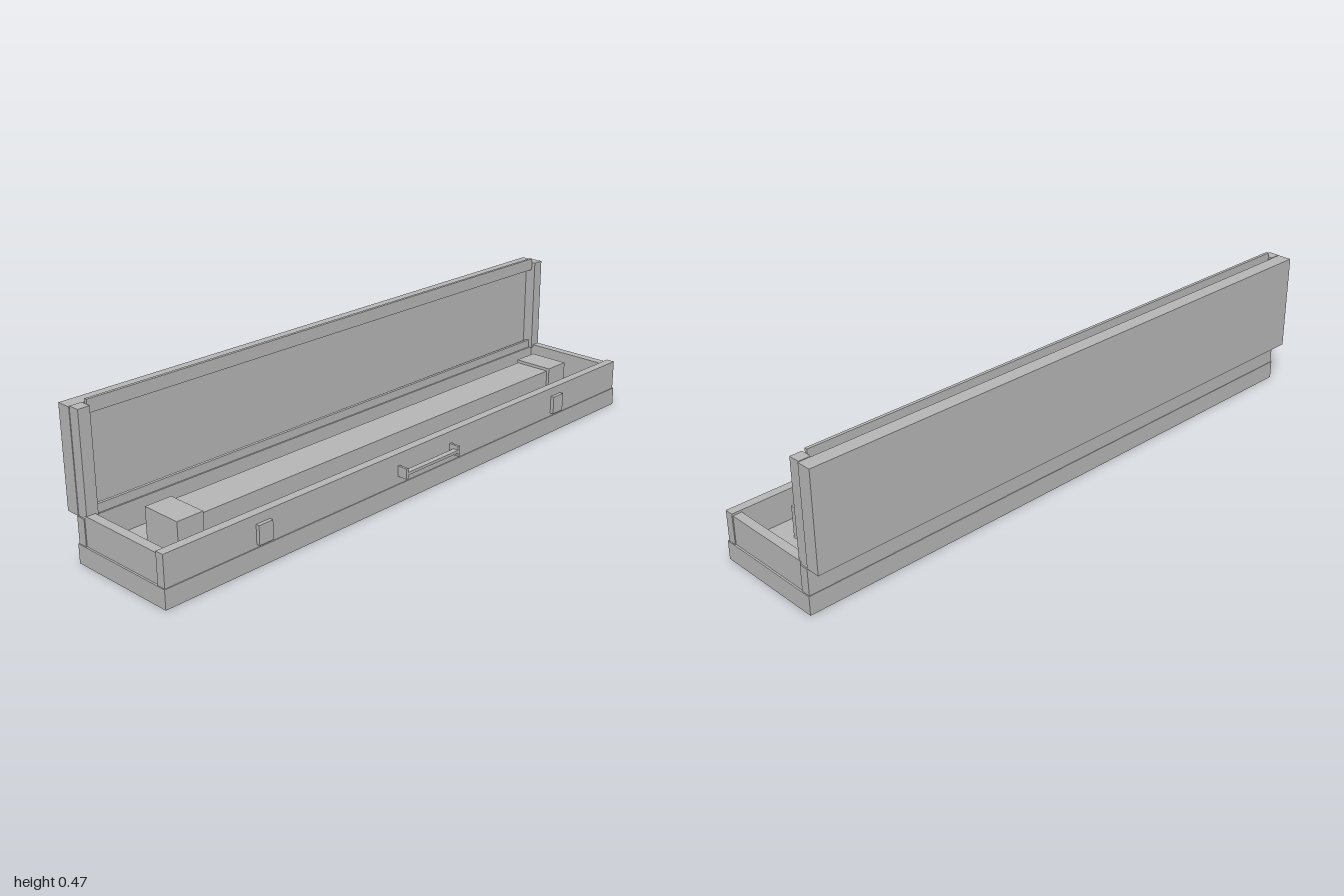
import * as THREE from 'three';

export function createModel() {
  const grey = new THREE.MeshStandardMaterial({ color: 0xb4b4b4 });
  grey.name = 'grey';
  const model = new THREE.Group();
  model.name = 'openCase';

  // Box given by its two extents on each axis
  function block(parent, name, x0, x1, y0, y1, z0, z1) {
    const mesh = new THREE.Mesh(new THREE.BoxGeometry(x1 - x0, y1 - y0, z1 - z0), grey);
    mesh.position.set((x0 + x1) / 2, (y0 + y1) / 2, (z0 + z1) / 2);
    mesh.name = name;
    parent.add(mesh);
  }
  // The same box on the left and on the right
  function pair(parent, name, x0, x1, ...rest) {
    block(parent, name + 'Left', x0, x1, ...rest);
    block(parent, name + 'Right', -x1, -x0, ...rest);
  }
  function group(name) {
    const g = new THREE.Group();
    g.name = name;
    model.add(g);
    return g;
  }

  // Lower tray with four walls
  const tray = group('tray');
  block(tray, 'trayBase', -1, 1, 0, 0.06, -0.184, 0.19);
  block(tray, 'frontWall', -0.997, 0.997, 0.06, 0.159, 0.158, 0.187);
  block(tray, 'backWall', -0.997, 0.997, 0.06, 0.143, -0.182, -0.151);
  pair(tray, 'sideWall', 0.965, 0.994, 0.06, 0.152, -0.151, 0.158);

  // Long bar lying in the tray, with a larger block at each end
  const contents = group('contents');
  block(contents, 'longBar', -0.77, 0.77, 0.06, 0.153, -0.06, 0.065);
  pair(contents, 'endBlock', 0.77, 0.86, 0.06, 0.163, -0.063, 0.074);

  // Upright lid: back panel, side rims and two thin lips
  const lid = group('lid');
  block(lid, 'lidPanel', -0.995, 0.995, 0.143, 0.459, -0.227, -0.18);
  pair(lid, 'lidSideRim', 0.955, 0.993, 0.143, 0.461, -0.18, -0.143);
  block(lid, 'lidTopLip', -0.955, 0.955, 0.435, 0.475, -0.166, -0.156);
  block(lid, 'lidBottomLip', -0.955, 0.955, 0.143, 0.17, -0.166, -0.156);

  // Carrying handle
  const handle = group('handle');
  block(handle, 'handleGrip', -0.115, 0.115, 0.098, 0.107, 0.203, 0.222);
  pair(handle, 'handlePost', 0.113, 0.121, 0.086, 0.12, 0.187, 0.222);

  // Front latch plates
  pair(group('latches'), 'latch', 0.632, 0.683, 0.07, 0.13, 0.187, 0.199);

  return model;
}
